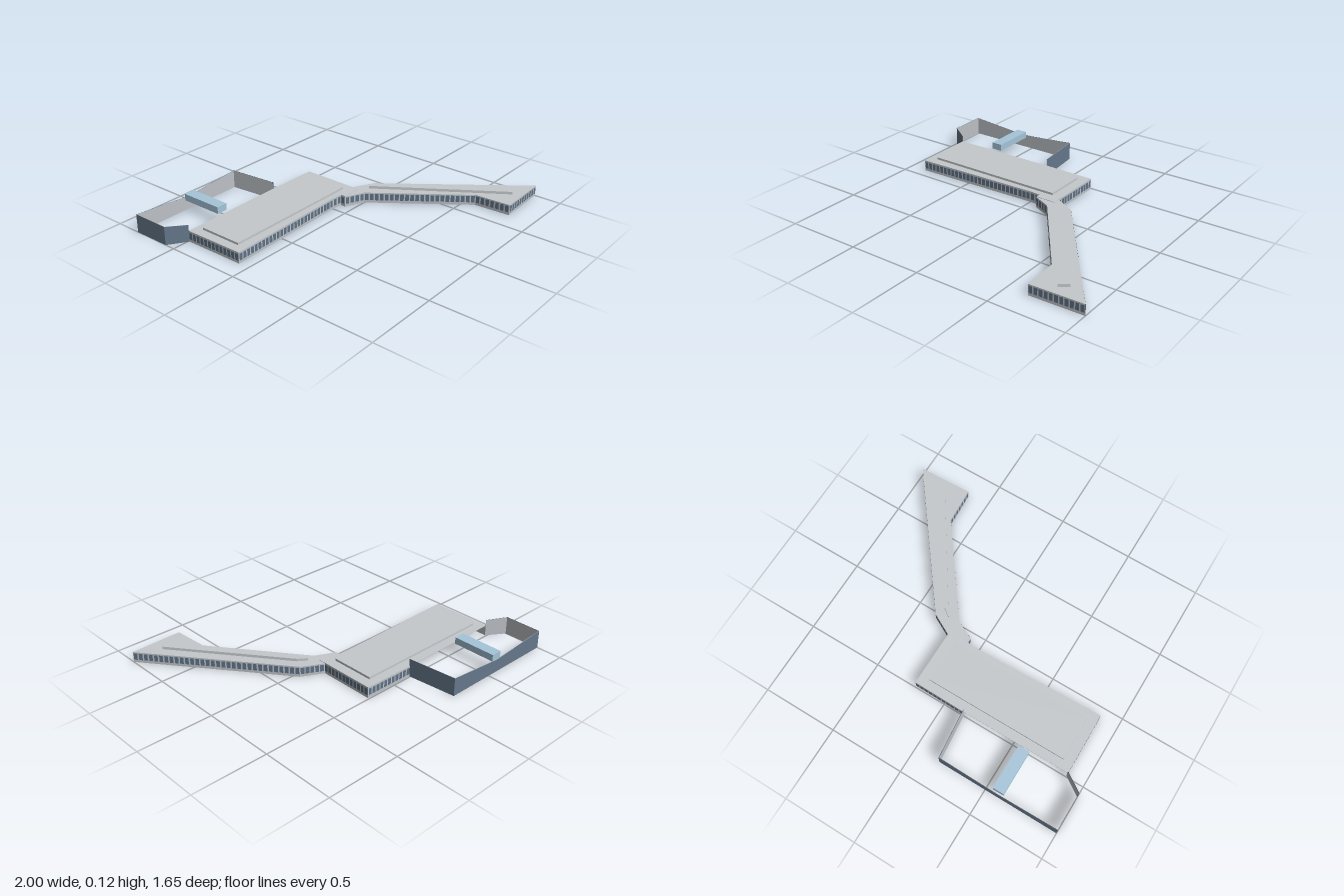
import * as THREE from 'three';
import { mergeGeometries } from 'three/addons/utils/BufferGeometryUtils.js';

const material = (name, color) => {
  const m = new THREE.MeshStandardMaterial({ color, side: THREE.DoubleSide });
  m.name = name;
  return m;
};

// Flat slab over a plan outline of [x, z] points
function slab(points, y0, y1) {
  const shape = new THREE.Shape(points.map(([x, z]) => new THREE.Vector2(x, -z)));
  const g = new THREE.ExtrudeGeometry(shape, { depth: y1 - y0, bevelEnabled: false });
  return g.rotateX(-Math.PI / 2).translate(0, y0, 0);
}

// Upright sheet along [x, z, height] points; the outside is on the right of the path
function sheet(path) {
  const pos = [];
  for (let i = 0; i < path.length - 1; i++) {
    const [ax, az, ah] = path[i], [bx, bz, bh] = path[i + 1];
    pos.push(ax, 0, az, bx, 0, bz, bx, bh, bz, ax, 0, az, bx, bh, bz, ax, ah, az);
  }
  const g = new THREE.BufferGeometry();
  g.setAttribute('position', new THREE.Float32BufferAttribute(pos, 3));
  g.computeVertexNormals();
  return g;
}

// Evenly spaced window panes on the outside of each stretch of a path
function panes(path, pitch, width, y0, y1) {
  const list = [];
  for (let i = 0; i < path.length - 1; i++) {
    const [ax, az] = path[i], [bx, bz] = path[i + 1];
    const dx = bx - ax, dz = bz - az, len = Math.hypot(dx, dz);
    const n = Math.max(1, Math.round(len / pitch));
    for (let k = 0; k < n; k++) {
      const t = (k + 0.5) / n;
      const g = new THREE.PlaneGeometry(Math.min(width, len * 0.7), y1 - y0);
      g.rotateY(Math.atan2(-dz, dx));
      g.translate(ax + dx * t - dz / len * 0.002, (y0 + y1) / 2, az + dz * t + dx / len * 0.002);
      list.push(g);
    }
  }
  return mergeGeometries(list);
}

export function createModel() {
  const group = new THREE.Group();
  const wall = material('wall grey', 0xbdc1c5);
  const roof = material('roof grey', 0xc5c9cc);
  const windowBlue = material('window blue', 0x5c7187);
  const panelBlue = material('facade blue', 0x66788b);
  const glass = material('bridge glass', 0xa5c5d9);

  const add = (name, geometry, mat) => {
    const mesh = new THREE.Mesh(geometry, mat);
    mesh.name = name;
    group.add(mesh);
  };

  // Thin walls with a row of windows outside
  const facade = (name, points, h) => {
    add(name + 'Walls', sheet(points.map(([x, z]) => [x, z, h])), wall);
    add(name + 'Windows', panes(points, 0.033, 0.0235, 0.019, 0.064), windowBlue);
  };

  // Main hall, open towards the courtyard
  const hallFront = [[-0.88, -0.49], [-0.875, -0.073], [0, -0.1], [0.075, -0.095]];
  const hallBack = [[0.212, -0.11], [0.215, -0.49], [-0.14, -0.495]];
  facade('hallFront', hallFront, 0.072);
  facade('hallBack', hallBack, 0.072);
  add('hallRoof', slab([...hallFront, [0.212, -0.095], ...hallBack], 0.071, 0.075), roof);
  add('hallUpperRoof', slab([[-0.817, -0.137], [0.147, -0.137], [0.147, -0.432], [-0.817, -0.432]], 0.075, 0.09), roof);

  // Long angled wing, joined to the hall by a short link
  const wing = [[0.075, -0.095], [0.075, -0.06], [0.2, 0], [0.63, 0.58],
    [0.643, 0.825], [1, 0.814], [0.352, -0.038], [0.217, -0.11]];
  facade('wing', wing, 0.07);
  add('wingRoof', slab(wing, 0.068, 0.072), roof);
  add('linkRoof', slab([[0.075, -0.095], [0.075, -0.062], [0.214, -0.062], [0.214, -0.095]], 0.071, 0.075), roof);
  add('wingUpperRoof', slab([[0.268, -0.016], [0.788, 0.76], [0.843, 0.717], [0.323, 0.024]], 0.072, 0.09), roof);

  // Courtyard screen, blue outside and grey inside, its back dipping in the middle
  const screen = [[-0.14, -0.49, 0.123], [-0.172, -0.825, 0.123],
    [-0.57, -0.825, 0.087], [-1, -0.825, 0.123], [-1, -0.57, 0.123], [-0.88, -0.49, 0.114]];
  const lining = screen.map(([x, z, h]) => [-0.57 + (x + 0.57) * 0.993, -0.64 + (z + 0.64) * 0.985, h]);
  add('screenOutside', sheet(screen), panelBlue);
  add('screenInside', sheet(lining), wall);

  // Raised glass bridge across the courtyard
  const bridge = new THREE.BoxGeometry(0.075, 0.046, 0.3);
  bridge.translate(-0.583, 0.1, -0.66);
  add('glassBridge', bridge, glass);

  return group;
}
